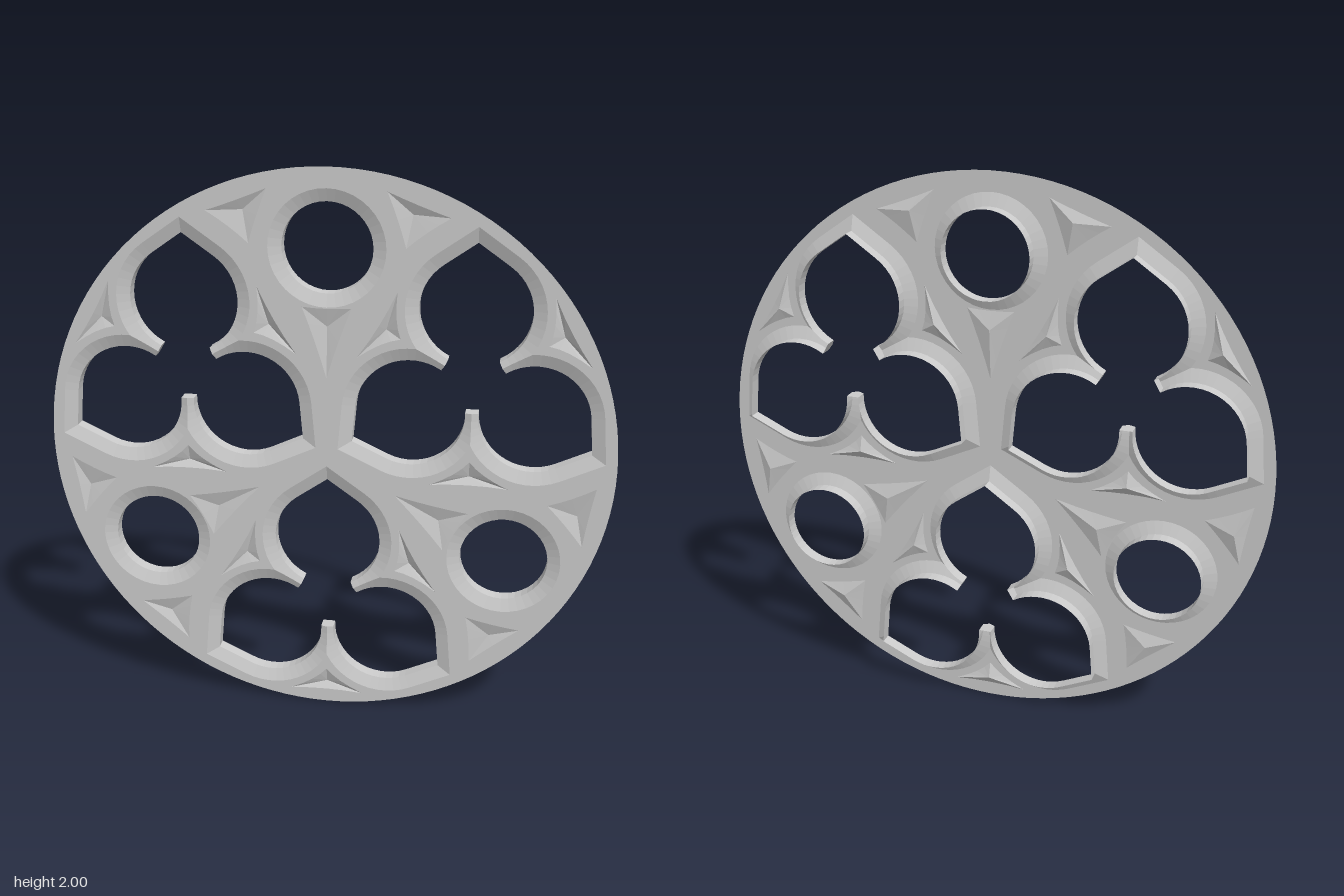
import * as THREE from 'three';

const FRONT = 0.03, STEP = 0.014, BACK = -0.032; // plate, foot of the chamfer, rear edge
const BEVEL = 0.045;
const LOBE_R = 0.19, LOBE_Y = 0.245, APEX = 0.477; // trefoil lobe
const TREFOIL_DIST = 0.577, OCULUS_DIST = 0.73, OCULUS_R = 0.155;
const rad = THREE.MathUtils.degToRad;
const material = new THREE.MeshStandardMaterial({ color: 0xcccccc, flatShading: true, side: THREE.DoubleSide });

const V = (x, y, z = 0) => new THREE.Vector3(x, y, z);
const turn = (p, a) => p.clone().applyAxisAngle(V(0, 0, 1), a);
const shift = (p, o) => p.clone().add(o);
const flat = (p) => new THREE.Vector2(p.x, p.y);

function meshFrom(name, points) {
  const geometry = new THREE.BufferGeometry().setFromPoints(points);
  geometry.computeVertexNormals();
  const mesh = new THREE.Mesh(geometry, material);
  mesh.name = name;
  return mesh;
}

// Closed band of quads between two loops of equal length
function band(name, low, high) {
  const out = [];
  low.forEach((a, i) => {
    const j = (i + 1) % low.length;
    out.push(a, high[i], high[j], a, high[j], low[j]);
  });
  return meshFrom(name, out);
}

// Trefoil opening: inner loop, chamfer top loop, and the hole it cuts in the plate
function trefoilLoops() {
  const half = LOBE_Y * Math.sin(Math.PI / 3); // lobe centre to cusp axis
  const cross = -60 + THREE.MathUtils.radToDeg(Math.acos(half / (LOBE_R + BEVEL)));
  const angles = [-63, -55, -48, -41, cross];
  for (let i = 1; i <= 12; i++) angles.push(cross + (55 - cross) * i / 12);
  const side = angles.map((deg, i) => {
    const a = rad(deg);
    // chamfers of neighbouring lobes meet in a ridge along the cusp
    const d = i < 4 ? half / Math.cos(a + Math.PI / 3) - LOBE_R : BEVEL;
    const at = (r, z) => V(r * Math.cos(a), LOBE_Y + r * Math.sin(a), z);
    return {
      low: at(LOBE_R, STEP),
      high: at(LOBE_R + d, STEP + (FRONT - STEP) * d / BEVEL),
      cut: i >= 4,
    };
  });
  const mirror = (p) => V(-p.x, p.y, p.z);
  const tip = { low: V(0, APEX, STEP), high: V(0, APEX + BEVEL / Math.sin(rad(55)), FRONT), cut: true };
  const other = side.map((s) => ({ low: mirror(s.low), high: mirror(s.high), cut: s.cut })).reverse();
  const lobe = [...side, tip, ...other];
  const low = [], high = [], hole = [];
  for (let k = 0; k < 3; k++) {
    const a = k * Math.PI * 2 / 3;
    low.push(...lobe.map((s) => turn(s.low, a)));
    high.push(...lobe.map((s) => turn(s.high, a)));
    hole.push(...lobe.filter((s) => s.cut).slice(0, -1).map((s) => turn(s.high, a)));
  }
  return { low, high, hole };
}

function circleLoop(r, z, n) {
  return Array.from({ length: n }, (_, i) => V(r * Math.cos(i / n * 2 * Math.PI), r * Math.sin(i / n * 2 * Math.PI), z));
}

// Outline of a three-cornered pocket whose sides bow inward
function pocketLoop(corners, centre, bow) {
  const loop = [];
  corners.forEach((a, i) => {
    const b = corners[(i + 1) % 3];
    const mid = a.clone().lerp(b, 0.5).lerp(centre, bow * 2);
    const curve = new THREE.QuadraticBezierCurve3(a, mid, b);
    loop.push(...curve.getPoints(4).slice(0, -1));
  });
  loop.forEach((p) => { p.z = FRONT; });
  return THREE.ShapeUtils.isClockWise(loop) ? loop.reverse() : loop;
}

export function createModel() {
  const group = new THREE.Group();
  const holes = [];

  const addOpening = (name, { low, high, hole }, offset) => {
    const part = new THREE.Group();
    part.name = name;
    const back = low.map((p) => V(p.x, p.y, BACK));
    part.add(band(name + 'Chamfer', low, high), band(name + 'Wall', back, low));
    part.position.copy(offset);
    group.add(part);
    holes.push(hole.map((p) => shift(p, offset)));
  };

  const addPocket = (name, corners, centre, depth, bow, place) => {
    const loop = pocketLoop(corners.map(place), place(centre), bow);
    const bottom = place(centre).setZ(FRONT - depth);
    const tris = [];
    loop.forEach((p, i) => tris.push(bottom, p, loop[(i + 1) % loop.length]));
    group.add(meshFrom(name, tris));
    holes.push(loop);
  };

  const trefoil = trefoilLoops();
  const oculus = {
    low: circleLoop(OCULUS_R, STEP, 40),
    high: circleLoop(OCULUS_R + BEVEL, FRONT, 40),
    hole: circleLoop(OCULUS_R + BEVEL, FRONT, 40),
  };

  for (let k = 0; k < 3; k++) {
    const a = k * Math.PI * 2 / 3;
    const centre = turn(V(0, -TREFOIL_DIST), a);
    addOpening('trefoil', trefoil, centre);
    addOpening('oculus', oculus, turn(V(0, OCULUS_DIST), a));

    // pocket behind each cusp
    for (let c = 0; c < 3; c++) {
      addPocket('cuspPocket', [V(-0.135, -0.378), V(0.135, -0.378), V(0, -0.285)], V(0, -0.343), 0.016, 0.2,
        (p) => shift(turn(p, c * Math.PI * 2 / 3), centre));
    }
    // pocket between oculus and hub
    addPocket('hubPocket', [V(0, 0.28), V(0.085, 0.53), V(-0.085, 0.53)], V(0, 0.46), 0.015, 0.06,
      (p) => turn(p, a));
    // pair of pockets between oculus and rim
    for (const s of [1, -1]) {
      addPocket('rimPocket', [V(0.2, 0.925), V(0.265, 0.74), V(0.41, 0.845)], V(0.285, 0.85), 0.015, 0.06,
        (p) => turn(V(p.x * s, p.y), a));
    }
  }

  // Pierced front plate
  const shape = new THREE.Shape(circleLoop(1, 0, 120).map(flat));
  shape.holes = holes.map((h) => new THREE.Path(h.map(flat)));
  const plate = new THREE.Mesh(new THREE.ShapeGeometry(shape), material);
  plate.name = 'frontPlate';
  plate.position.z = FRONT;
  group.add(plate);

  group.children.forEach((part) => { part.position.y += 1; });
  return group;
}
